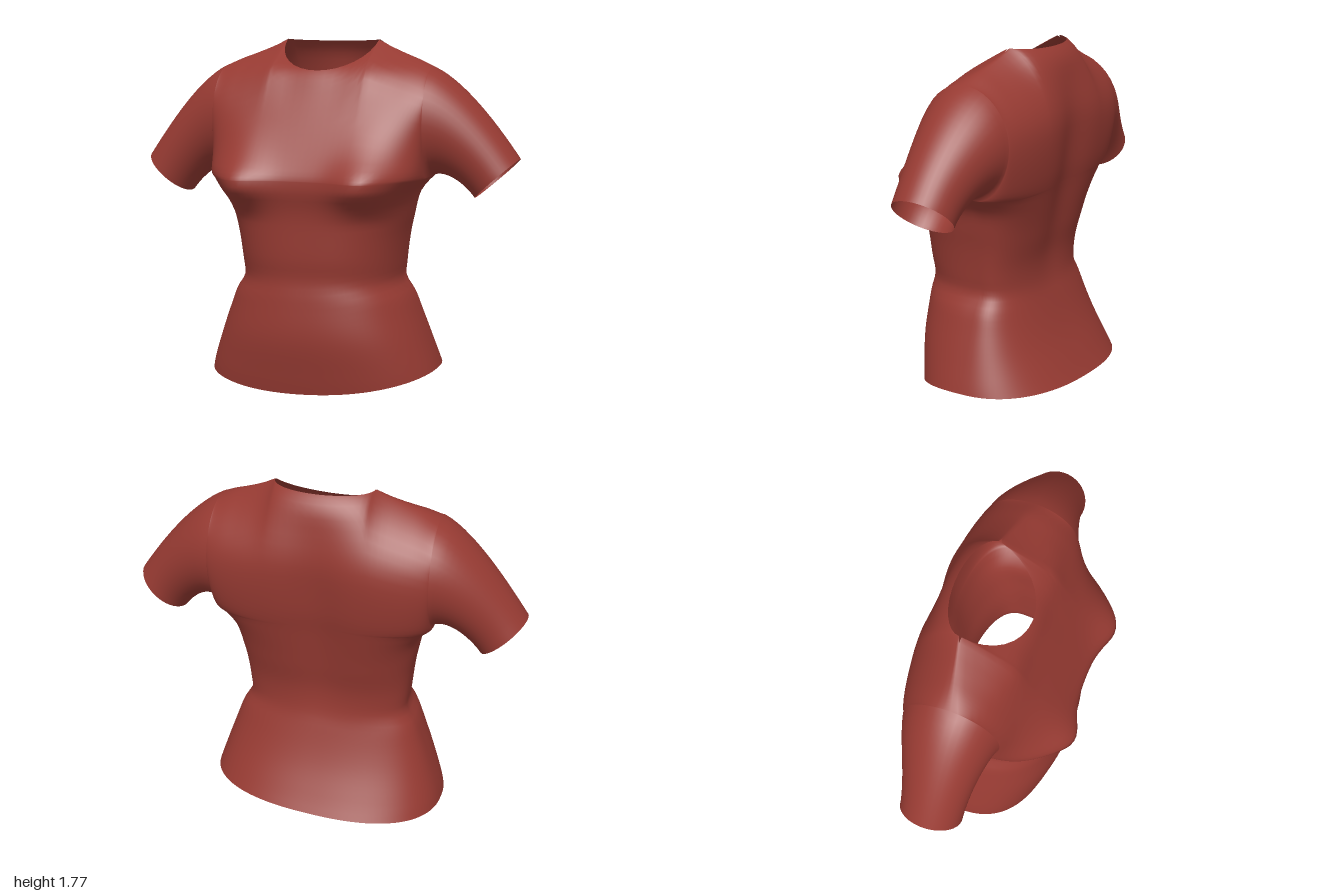
import * as THREE from 'three';
import { mergeVertices, mergeGeometries } from 'three/addons/utils/BufferGeometryUtils.js';

const COLS = 48, LOW = 34, UP = 20, SLEEVE = 14;
const ARMPIT_Y = 1.1, ARM_X = 0.555, SIDE_Z = -0.05, NECK_S = 0.34;
const lerp = THREE.MathUtils.lerp, smooth = THREE.MathUtils.smoothstep;
const bell = (x, width) => Math.exp(-((x / width) ** 2));

// Smooth 1D curve through [position, value] pairs
function curve(p) {
  const slope = (i) => {
    const a = p[Math.max(i - 1, 0)], b = p[Math.min(i + 1, p.length - 1)];
    return (b[1] - a[1]) / (b[0] - a[0]);
  };
  return (x) => {
    if (x <= p[0][0]) return p[0][1];
    if (x >= p[p.length - 1][0]) return p[p.length - 1][1];
    let i = 0;
    while (x > p[i + 1][0]) i++;
    const h = p[i + 1][0] - p[i][0], t = (x - p[i][0]) / h;
    return hermite(p[i][1], p[i + 1][1], slope(i) * h, slope(i + 1) * h, t);
  };
}

function hermite(a, b, da, db, t) {
  const t2 = t * t, t3 = t2 * t;
  return a * (2 * t3 - 3 * t2 + 1) + b * (3 * t2 - 2 * t3) + da * (t3 - 2 * t2 + t) + db * (t3 - t2);
}

// Body proportions by height
const halfWidth = curve([[0, 0.63], [0.1, 0.61], [0.25, 0.56], [0.4, 0.505], [0.5, 0.465], [0.57, 0.42],
  [0.65, 0.422], [0.8, 0.437], [0.9, 0.455], [1, 0.475], [1.05, 0.505], [1.1, ARM_X]]);
const frontZ = curve([[0, 0.35], [0.1, 0.37], [0.3, 0.4], [0.5, 0.388], [0.6, 0.376], [0.7, 0.388], [0.9, 0.395],
  [0.97, 0.405], [1.05, 0.425], [1.12, 0.42], [1.2, 0.38], [1.3, 0.325], [1.4, 0.27], [1.5, 0.215],
  [1.63, 0.14], [1.7, 0.03], [1.785, -0.12]]);
const backZ = curve([[0.06, -0.465], [0.15, -0.41], [0.3, -0.33], [0.45, -0.27], [0.57, -0.236], [0.7, -0.236],
  [0.85, -0.27], [1.05, -0.315], [1.2, -0.35], [1.4, -0.37], [1.5, -0.36], [1.65, -0.315],
  [1.73, -0.28], [1.775, -0.24], [1.8, -0.2]]);
const squareness = curve([[0, 2.4], [0.5, 2.4], [0.9, 2.8], [1.05, 3.3], [1.2, 3]]);
const bust = curve([[0.9, 0], [0.98, 0.04], [1.05, 0.085], [1.12, 0.075], [1.25, 0.025], [1.4, 0]]);
const spine = curve([[0.5, 0], [0.9, 0.025], [1.3, 0.035], [1.55, 0.02], [1.7, 0]]);
const shoulderY = curve([[0.25, 1.785], [0.3, 1.757], [0.4, 1.715], [0.48, 1.685], [ARM_X, 1.65]]);

// Depth of the front (side 1) or back (side -1) at a point
function depth(x, y, r, edgeZ, side, t) {
  const n = squareness(y), q = lerp(1 / n, 0.7, smooth(t, 0, 0.5));
  const relief = side > 0 ? bust(y) * bell(Math.abs(x) - 0.33, 0.14) : spine(y) * bell(x, 0.13);
  const swell = Math.pow(Math.max(0, 1 - Math.pow(Math.min(r, 1), n)), q);
  return lerp(edgeZ, (side > 0 ? frontZ : backZ)(y), swell) + relief * Math.min(1, swell * 1.5);
}

// Neckline and shoulder seam
function topEdge(s, side) {
  const a = Math.abs(s), sign = Math.sign(s);
  if (a <= NECK_S) {
    const f = (a / NECK_S) * Math.PI / 2, c = Math.cos(f);
    return [sign * 0.25 * Math.sin(f), side > 0 ? 1.785 - 0.155 * c : 1.785 - 0.01 * c,
      -0.12 + (side > 0 ? 0.26 : -0.12) * c];
  }
  const e = Math.sin(((a - NECK_S) / (1 - NECK_S)) * Math.PI / 2);
  const x = lerp(0.25, ARM_X, e);
  return [sign * x, shoulderY(x), lerp(-0.12, SIDE_Z, e)];
}

// Torso from the hem to the armpits
function lowerBody(u, v, side) {
  const sin = Math.sin((u * 2 - 1) * Math.PI / 2), r = Math.abs(sin);
  const hem = (side > 0 ? 0.015 + 0.07 * r * r : 0.085) + 0.03 * sin;
  const y = lerp(hem, ARMPIT_Y, v), x = halfWidth(y) * sin;
  return [x, y, depth(x, y, r, SIDE_Z, side, 0)];
}

// Chest and shoulders between the armholes
function upperBody(u, v, side) {
  const s = u * 2 - 1, f = v * Math.PI, t = (1 - Math.cos(f)) / 2;
  const top = topEdge(s, side);
  const x = lerp(ARM_X * Math.sin(s * Math.PI / 2), top[0], t), y = lerp(ARMPIT_Y, top[1], t);
  const edge = SIDE_Z + (side > 0 ? 0.23 : -0.25) * Math.sin(f);
  const topZ = depth(top[0], top[1], Math.abs(top[0]) / ARM_X, SIDE_Z, side, 1);
  const z = depth(x, y, Math.abs(x) / ARM_X, edge, side, t) + (top[2] - topZ) * t ** 4;
  return [x, y, z];
}

// Sleeve half swept from the armhole to the cuff
function sleeve(u, v, side, hand) {
  const f = v * Math.PI, c = -Math.cos(f), t = (1 + c) / 2, sn = Math.sin(f);
  const a = upperBody(hand > 0 ? 1 : 0, v, side);
  const cuffY = (hand > 0 ? 1.1 : 1.075) + 0.1 * c;
  return [
    hand * hermite(Math.abs(a[0]), 0.89 + 0.11 * c, lerp(0.2, 0.45, t), lerp(0.15, 0.36, t), u),
    hermite(a[1], cuffY, lerp(0.14, -0.2, t), lerp(-0.2, -0.52, t), u),
    hermite(a[2], -0.045 + side * 0.155 * sn, (side > 0 ? -0.12 : 0.06) * sn, 0, u),
  ];
}

// Grid of quads over a point rule
function grid(nu, nv, rule, flip) {
  const pos = [], index = [];
  for (let j = 0; j <= nv; j++) for (let i = 0; i <= nu; i++) pos.push(...rule(i / nu, j / nv));
  for (let j = 0; j < nv; j++) for (let i = 0; i < nu; i++) {
    const a = j * (nu + 1) + i, b = a + 1, c = a + nu + 1, d = c + 1;
    if (flip) index.push(a, d, b, a, c, d);
    else index.push(a, b, d, a, d, c);
  }
  const g = new THREE.BufferGeometry();
  g.setAttribute('position', new THREE.Float32BufferAttribute(pos, 3));
  g.setIndex(index);
  return g;
}

export function createModel() {
  const red = new THREE.MeshStandardMaterial({ color: 0x963a32, side: THREE.DoubleSide });
  red.name = 'brick red cloth';

  // Front and back panels with both sleeves, welded into one smooth cloth
  const panels = [];
  for (const side of [1, -1]) {
    panels.push(grid(COLS, LOW, (u, v) => lowerBody(u, v, side), side < 0));
    panels.push(grid(COLS, UP, (u, v) => upperBody(u, v, side), side < 0));
    for (const hand of [1, -1]) {
      panels.push(grid(SLEEVE, UP, (u, v) => sleeve(u, v, side, hand), side * hand < 0));
    }
  }
  const cloth = mergeVertices(mergeGeometries(panels), 1e-4);
  cloth.computeVertexNormals();

  const shirt = new THREE.Mesh(cloth, red);
  shirt.name = 'shirt';
  const group = new THREE.Group();
  group.name = 'shortSleevedShirt';
  group.add(shirt);
  return group;
}
